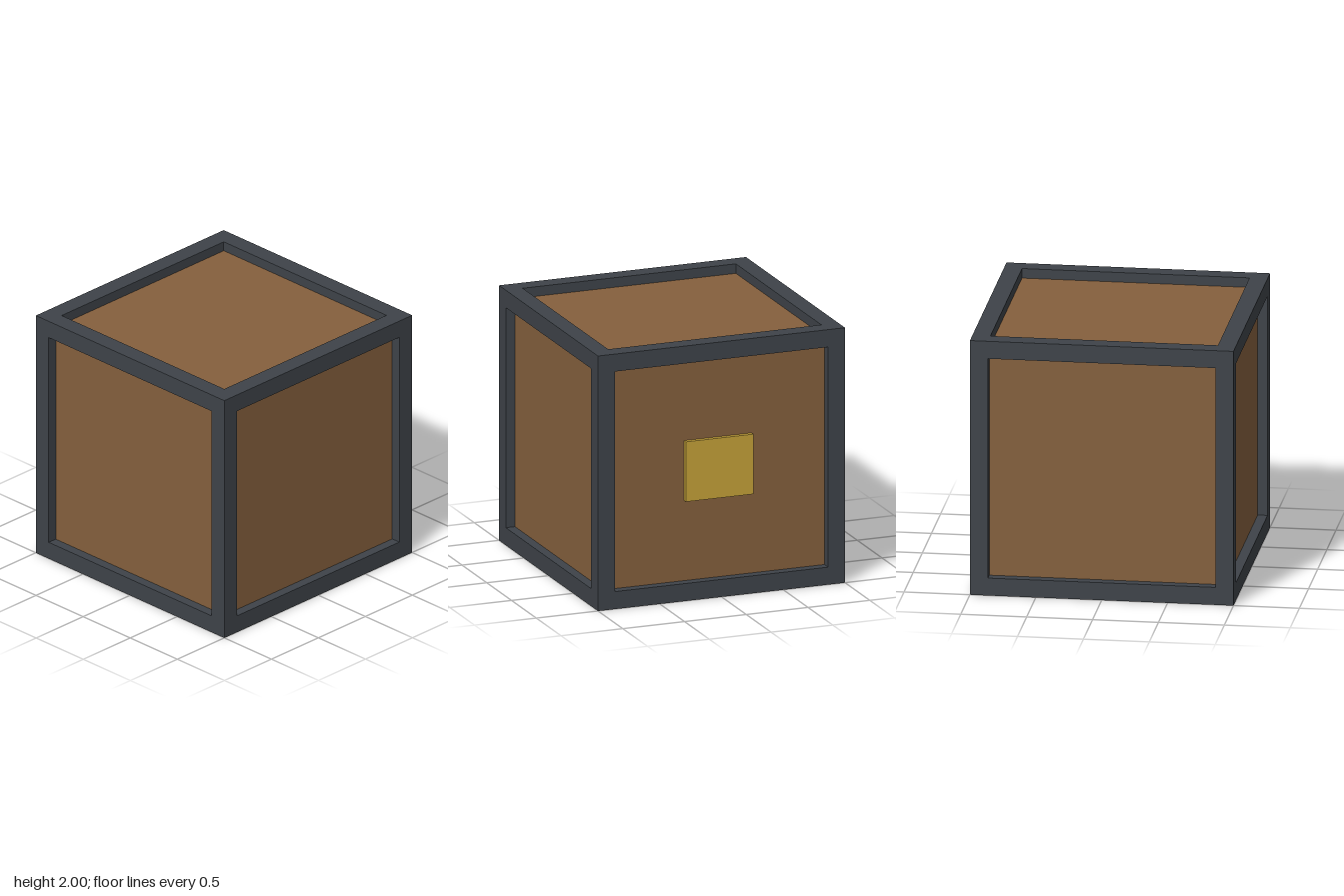
import * as THREE from 'three';

const SIZE = 2, BAR = 0.137, RECESS = 0.075;

export function createModel() {
  const frameMat = new THREE.MeshStandardMaterial({ name: 'darkSteel', color: 0x3e4349 });
  const panelMat = new THREE.MeshStandardMaterial({ name: 'brownWood', color: 0x85603d });
  const plateMat = new THREE.MeshStandardMaterial({ name: 'brass', color: 0xc4a139 });

  const model = new THREE.Group();
  model.name = 'crate';

  const addBox = (parent, name, mat, size, pos) => {
    const mesh = new THREE.Mesh(new THREE.BoxGeometry(...size), mat);
    mesh.name = name;
    mesh.position.set(...pos);
    parent.add(mesh);
  };

  // Recessed wooden body forming all six panels
  const body = SIZE - 2 * RECESS;
  addBox(model, 'panels', panelMat, [body, body, body], [0, SIZE / 2, 0]);

  // Twelve edge bars: full-height posts, with rails fitted between them
  const frame = new THREE.Group();
  frame.name = 'frame';
  model.add(frame);
  const off = (SIZE - BAR) / 2, inner = SIZE - 2 * BAR, mid = SIZE / 2;
  for (const a of [-1, 1]) {
    for (const b of [-1, 1]) {
      addBox(frame, 'cornerPost', frameMat, [BAR, SIZE, BAR], [a * off, mid, b * off]);
      addBox(frame, 'crossRail', frameMat, [inner, BAR, BAR], [0, mid + a * off, b * off]);
      addBox(frame, 'sideRail', frameMat, [BAR, BAR, inner], [a * off, mid + b * off, 0]);
    }
  }

  // Brass plate on the back panel, slightly sunk into the wood
  const plateFace = body / 2 + 0.036, plateDepth = 0.06;
  addBox(model, 'backPlate', plateMat, [0.546, 0.47, plateDepth], [0, mid, -plateFace + plateDepth / 2]);

  return model;
}
